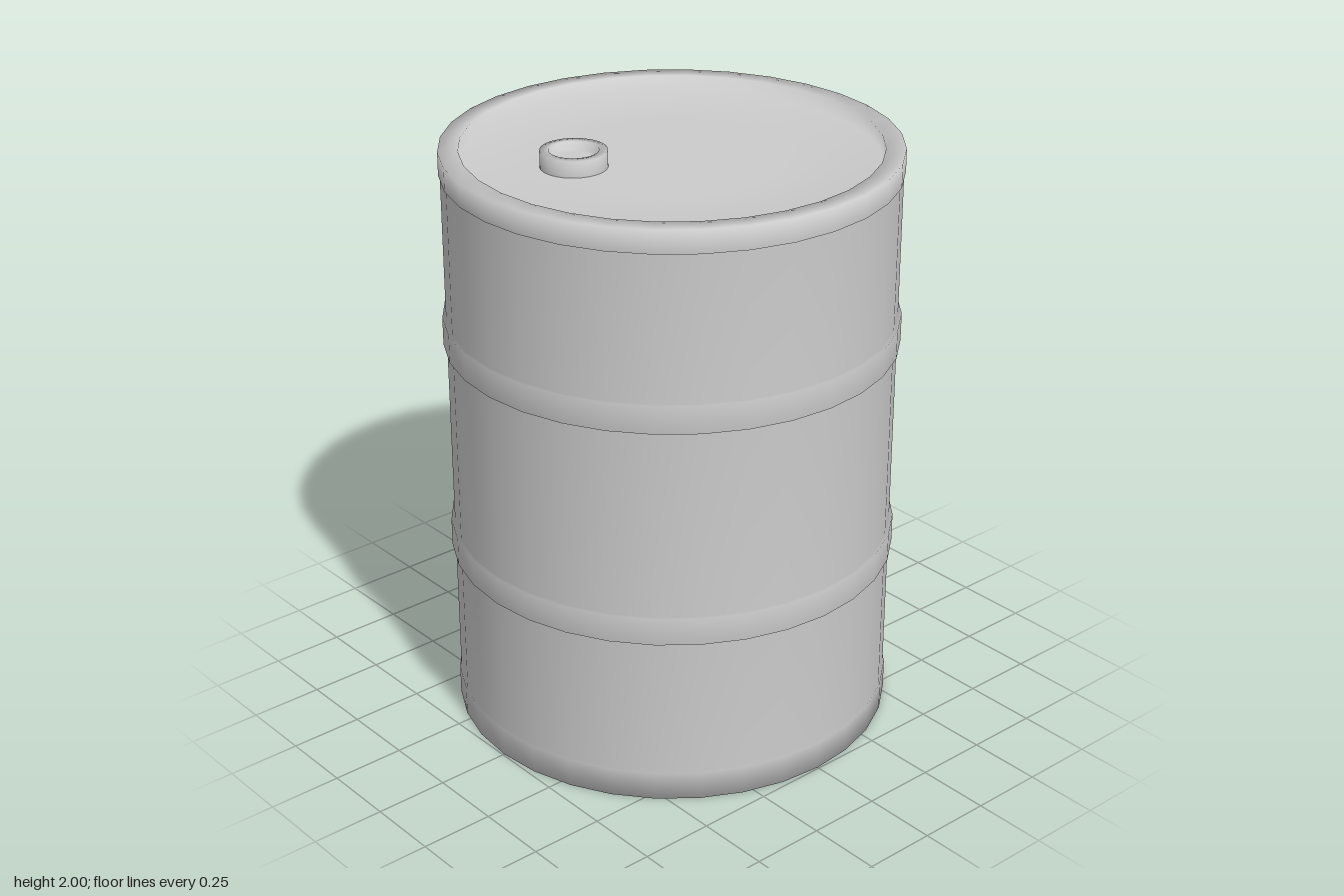
import * as THREE from 'three';

const SIDES = 32;
const material = new THREE.MeshStandardMaterial({ color: 0xcccccc });

// Smooth solid of revolution; profile runs from bottom centre, round the outside, to top centre
function turned(name, profile, sides = SIDES) {
  const points = profile.map(([r, y]) => new THREE.Vector2(r, y));
  const mesh = new THREE.Mesh(new THREE.LatheGeometry(points, sides), material);
  mesh.name = name;
  return mesh;
}

export function createModel() {
  const group = new THREE.Group();
  group.name = 'barrel';

  const wall = 0.74, rim = 0.745, rib = 0.752, inner = 0.68;
  const band = (low, high) => [[wall, low], [rib, low], [rib, high], [wall, high]];

  // Drum shell: recessed base, bottom rim, two ribs, top rim and recessed lid
  group.add(turned('drumShell', [
    [0, 0.05], [0.35, 0.05], [inner, 0.05], [inner, 0],
    [rim, 0], [rim, 0.1], [wall, 0.1],
    ...band(0.59, 0.685),
    ...band(1.335, 1.43),
    [wall, 1.92], [rim, 1.92], [rim, 1.998],
    [inner, 1.998], [inner, 1.945], [0.35, 1.945], [0, 1.945],
  ]));

  // Filler cap: raised collar with a shallow sunken plug
  const cap = turned('fillerCap', [
    [0.109, 1.94], [0.109, 2], [0.08, 2], [0.08, 1.97], [0.06, 1.97], [0, 1.97],
  ]);
  cap.position.set(-0.28, 0, -0.15);
  group.add(cap);

  return group;
}
